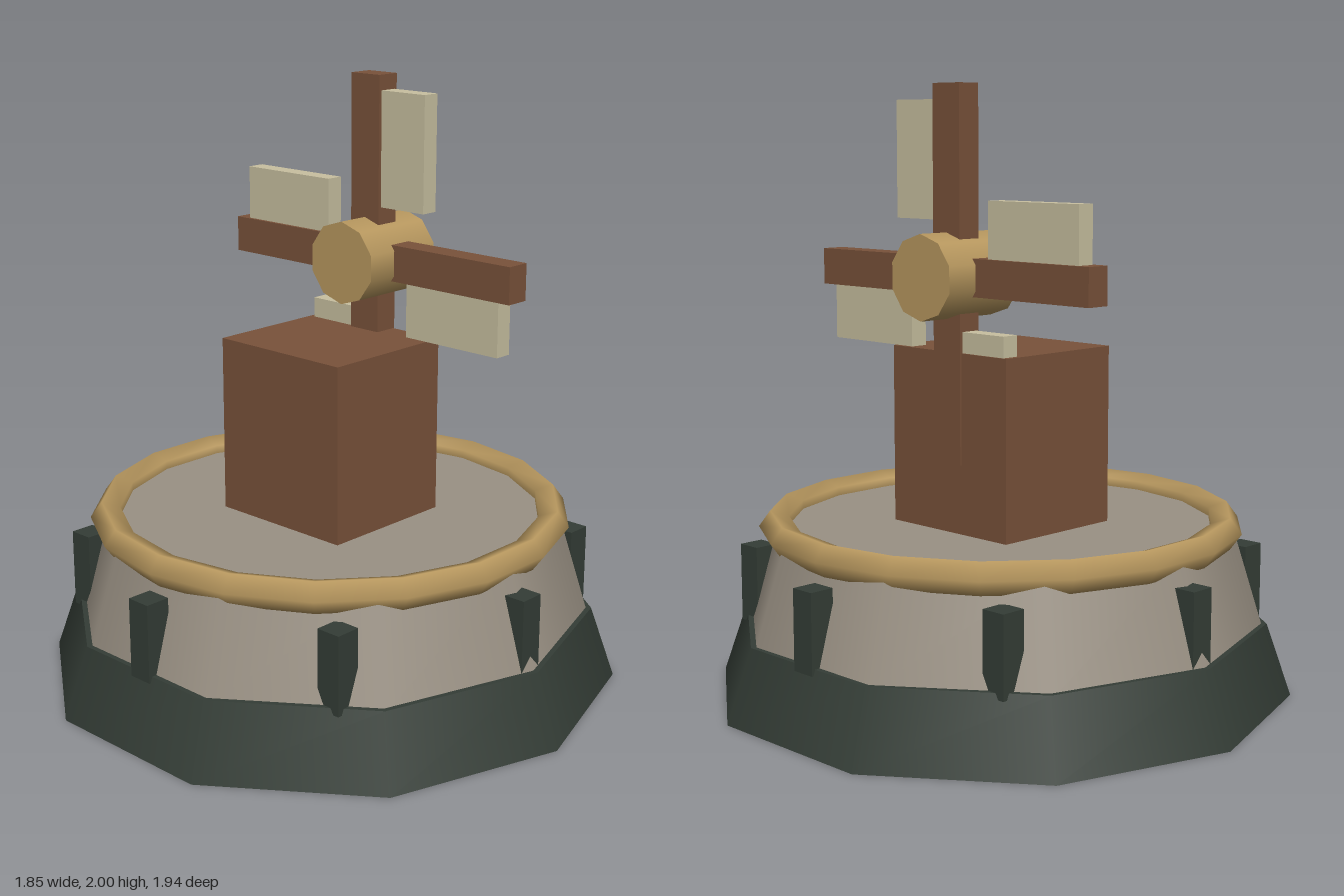
import * as THREE from 'three';

const mat = (name, color) => {
  const m = new THREE.MeshStandardMaterial({ color });
  m.name = name;
  return m;
};

export function createModel() {
  const green = mat('darkGreen', 0x343d36);
  const stone = mat('stone', 0x9a9184);
  const brass = mat('tan', 0xb8985f);
  const wood = mat('brownWood', 0x79523a);
  const cloth = mat('creamCloth', 0xc8c0a0);

  const model = new THREE.Group();
  model.name = 'windmillTower';

  const add = (parent, name, geometry, material, x = 0, y = 0, z = 0) => {
    const mesh = new THREE.Mesh(geometry, material);
    mesh.name = name;
    mesh.position.set(x, y, z);
    parent.add(mesh);
    return mesh;
  };

  // Ten-sided foundation and tapering drum
  add(model, 'foundation', new THREE.CylinderGeometry(0.887, 0.97, 0.24, 10), green, 0, 0.12);
  add(model, 'drum', new THREE.CylinderGeometry(0.771, 0.875, 0.34, 10), stone, 0, 0.39);

  // Rounded rim, five-sided in section
  const rim = new THREE.TorusGeometry(0.75, 0.055, 5, 18).rotateX(Math.PI / 2);
  add(model, 'rim', rim, brass, 0, 0.557);

  // Eight upright buttresses, all square to the axes
  for (let i = 0; i < 8; i++) {
    const a = (i * Math.PI) / 4;
    add(model, 'buttress', new THREE.BoxGeometry(0.085, 0.26, 0.085), green,
      Math.sin(a) * 0.813, 0.35, Math.cos(a) * 0.813);
  }

  // Cabin block
  add(model, 'cabin', new THREE.BoxGeometry(0.484, 0.6, 0.52), wood, 0, 0.85);

  // Rotor turning about the x axis
  const rotor = new THREE.Group();
  rotor.name = 'rotor';
  rotor.position.set(0.206, 1.394, 0);
  model.add(rotor);

  const hub = new THREE.CylinderGeometry(0.138, 0.138, 0.31, 10)
    .rotateZ(Math.PI / 2).rotateX(Math.PI / 2);
  add(rotor, 'hub', hub, brass);

  // Four blades, each an arm with a sail on one side
  for (let i = 0; i < 4; i++) {
    const blade = new THREE.Group();
    blade.name = 'blade';
    blade.rotation.x = (i * Math.PI) / 2;
    add(blade, 'arm', new THREE.BoxGeometry(0.084, 0.606, 0.121), wood, 0, 0.303, 0);
    add(blade, 'sail', new THREE.BoxGeometry(0.061, 0.38, 0.183), cloth, 0, 0.366, 0.151);
    rotor.add(blade);
  }

  return model;
}
